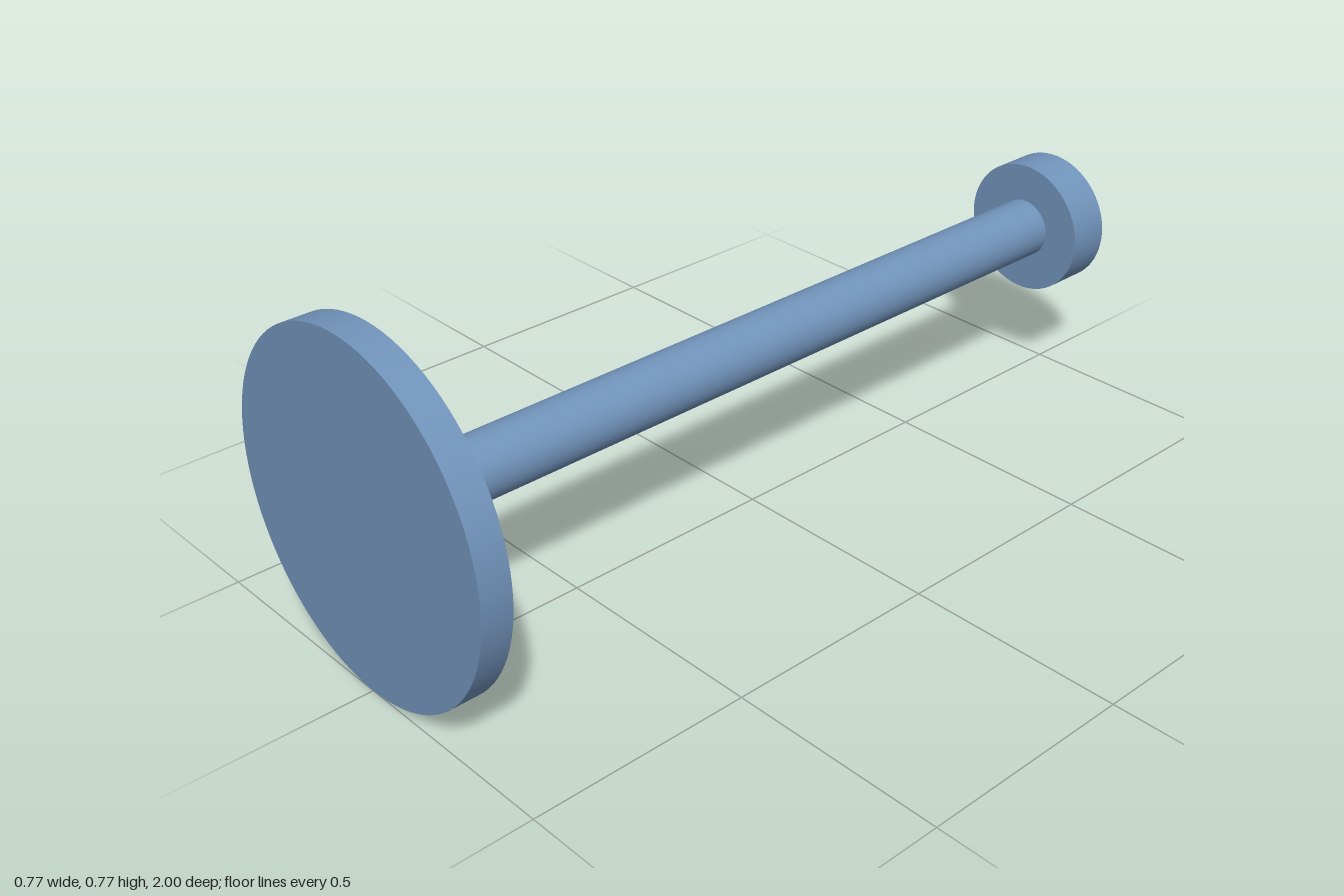
import * as THREE from 'three';

const AXIS_Y = 0.386;

export function createModel() {
  const group = new THREE.Group();
  const steelBlue = new THREE.MeshStandardMaterial({ color: 0x7193ba });
  steelBlue.name = 'steelBlue';

  // Round section lying along z, from zBack to zFront
  const addDisc = (name, radius, zBack, zFront) => {
    const geometry = new THREE.CylinderGeometry(radius, radius, zFront - zBack, 96);
    geometry.rotateX(Math.PI / 2);
    const mesh = new THREE.Mesh(geometry, steelBlue);
    mesh.name = name;
    mesh.position.set(0, AXIS_Y, (zBack + zFront) / 2);
    group.add(mesh);
  };

  addDisc('frontFlange', 0.386, 0.931, 1);
  addDisc('shaft', 0.069, -0.897, 0.931);
  addDisc('rearKnob', 0.157, -1, -0.897);

  return group;
}
